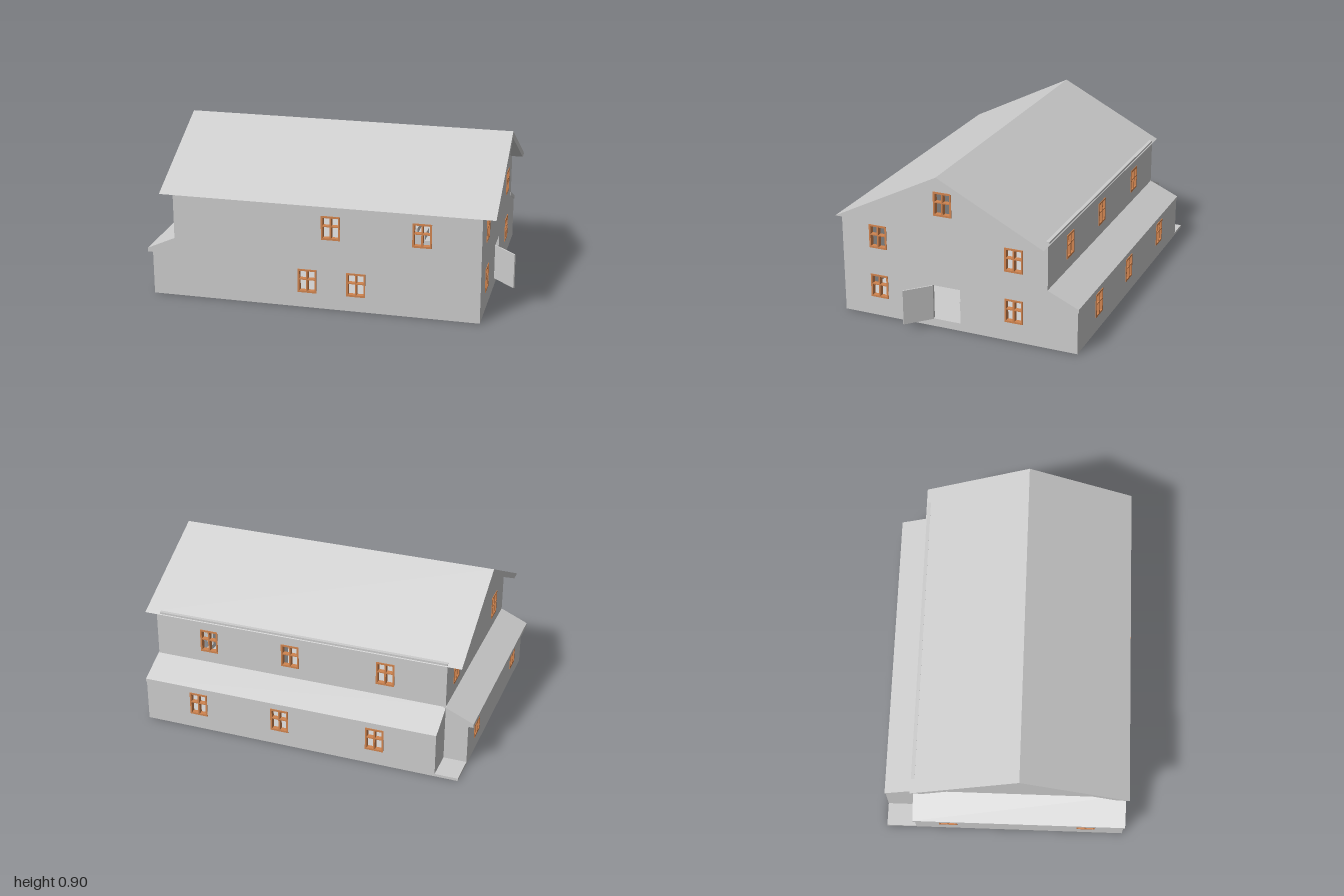
import * as THREE from 'three';

const plaster = new THREE.MeshStandardMaterial({ color: 0xcccccc });
plaster.name = 'pale grey';
const wood = new THREE.MeshStandardMaterial({ color: 0xd0844f });
wood.name = 'orange brown wood';

const T = 0.02; // wall thickness
const WIN_W = 0.105, WIN_H = 0.136;

const toShape = (pts) => new THREE.Shape(pts.map(([x, y]) => new THREE.Vector2(x, y)));

function cutRect(shape, cx, cy, w, h) {
  shape.holes.push(new THREE.Path([[-1, -1], [-1, 1], [1, 1], [1, -1]]
    .map(([i, j]) => new THREE.Vector2(cx + i * w / 2, cy + j * h / 2))));
}

function extrude(name, shape, depth, material = plaster) {
  const geo = new THREE.ExtrudeGeometry(shape, { depth, bevelEnabled: false });
  const mesh = new THREE.Mesh(geo, material);
  mesh.name = name;
  return mesh;
}

function box(name, x0, x1, y0, y1, z0, z1) {
  const mesh = new THREE.Mesh(new THREE.BoxGeometry(x1 - x0, y1 - y0, z1 - z0), plaster);
  mesh.position.set((x0 + x1) / 2, (y0 + y1) / 2, (z0 + z1) / 2);
  mesh.name = name;
  return mesh;
}

// Casement frame: two small panes over two tall ones
function windowFrame(cx, cy) {
  const w = WIN_W / 2, h = WIN_H / 2;
  const shape = toShape([[-w, -h], [w, -h], [w, h], [-w, h]]);
  for (const s of [-1, 1]) {
    cutRect(shape, s * 0.0235, 0.035, 0.038, 0.045);
    cutRect(shape, s * 0.0235, -0.0255, 0.038, 0.064);
  }
  const frame = extrude('windowFrame', shape, T + 0.008, wood);
  frame.position.set(cx, cy, -0.004);
  return frame;
}

// Wall drawn in its own plane, with window frames and optional door opening
function wall(name, outline, windows, door) {
  const group = new THREE.Group();
  group.name = name;
  const shape = toShape(outline);
  for (const [x, y] of windows) {
    cutRect(shape, x, y, WIN_W - 0.008, WIN_H - 0.008);
    group.add(windowFrame(x, y));
  }
  if (door) cutRect(shape, ...door);
  group.add(extrude(name + 'Panel', shape, T));
  return group;
}

// Turn a drawing in (z, y) so it extrudes towards -x from the given x
function alongX(object, x) {
  object.rotation.y = -Math.PI / 2;
  object.position.x = x;
  return object;
}

function alongZ(object, z) {
  object.position.z = z;
  return object;
}

export function createModel() {
  const house = new THREE.Group();
  house.name = 'house';

  // Ground slab, also the open floor at the back corner
  house.add(box('floor', -0.97, 0.87, 0, 0.015, -0.69, 0.69));

  // Front wall, including the end of the side lean-to
  house.add(alongZ(wall('frontWall',
    [[-0.97, 0], [0.87, 0], [0.87, 0.59], [-0.84, 0.59], [-0.84, 0.335], [-0.97, 0.262]],
    [[0.05, 0.472], [0.55, 0.472], [-0.083, 0.155], [0.19, 0.155]]), 0.69 - T));

  // Back walls: upper storey and lean-to
  const backX = [0.55, 0.06, -0.495];
  house.add(alongZ(wall('upperBackWall',
    [[-0.84, 0.32], [0.85, 0.32], [0.85, 0.604], [-0.84, 0.604]],
    backX.map((x) => [x, 0.472])), -0.52));
  house.add(alongZ(wall('lowerBackWall',
    [[-0.84, 0], [0.87, 0], [0.87, 0.255], [-0.84, 0.255]],
    backX.map((x) => [x, 0.155])), -0.69));

  // Right gable wall with the doorway
  const gableTop = [[0.69, 0.59], [0.62, 0.59], [0.08, 0.862], [-0.45, 0.59], [-0.52, 0.59]];
  const upper = [[0.472, 0.472], [-0.328, 0.472], [0.08, 0.722]];
  house.add(alongX(wall('rightWall',
    [[-0.69, 0], [0.69, 0], ...gableTop, [-0.52, 0.335], [-0.69, 0.258]],
    [...upper, [0.472, 0.178], [-0.328, 0.178]],
    [0.067, 0.145, 0.165, 0.2]), 0.87));

  // Left walls: upper gable and lean-to
  house.add(alongX(wall('upperLeftWall',
    [[-0.52, 0.31], [0.69, 0.31], ...gableTop], upper), -0.84 + T));
  house.add(alongX(wall('lowerLeftWall',
    [[-0.52, 0], [0.69, 0], [0.69, 0.255], [-0.52, 0.255]],
    [[0.472, 0.155], [-0.328, 0.155]]), -0.97 + T));

  // Lean-to end walls facing the open corner
  house.add(alongZ(extrude('sideLeanToEnd',
    toShape([[-0.97, 0], [-0.84, 0], [-0.84, 0.335], [-0.97, 0.262]]), T), -0.52));
  house.add(alongX(extrude('backLeanToEnd',
    toShape([[-0.69, 0], [-0.52, 0], [-0.52, 0.335], [-0.69, 0.258]]), T), -0.84 + T));

  // Main roof, an inverted V with flat eaves
  house.add(alongX(extrude('mainRoof', toShape(
    [[0.69, 0.59], [0.08, 0.9], [-0.525, 0.59], [-0.45, 0.59], [0.08, 0.86], [0.62, 0.59]]),
    1.86), 0.94));

  // Lean-to roofs
  house.add(alongZ(extrude('sideLeanToRoof',
    toShape([[-1, 0.245], [-0.97, 0.245], [-0.83, 0.315], [-0.83, 0.343], [-1, 0.267]]),
    1.215), -0.525));
  house.add(alongX(extrude('backLeanToRoof',
    toShape([[-0.695, 0.24], [-0.51, 0.32], [-0.51, 0.343], [-0.695, 0.26]]), 1.715), 0.873));

  // Open door
  const door = new THREE.Mesh(new THREE.BoxGeometry(0.172, 0.2, 0.008), plaster);
  door.position.set(0.935, 0.145, 0.206);
  door.rotation.y = -0.765;
  door.name = 'openDoor';
  house.add(door);

  // Inner staircase behind the doorway
  for (let i = 0; i < 8; i++) {
    const x = 0.68 - i * 0.045;
    house.add(box('stairStep', x - 0.045, x, 0.015, 0.07 + i * 0.035, -0.05, 0.08));
  }
  return house;
}
